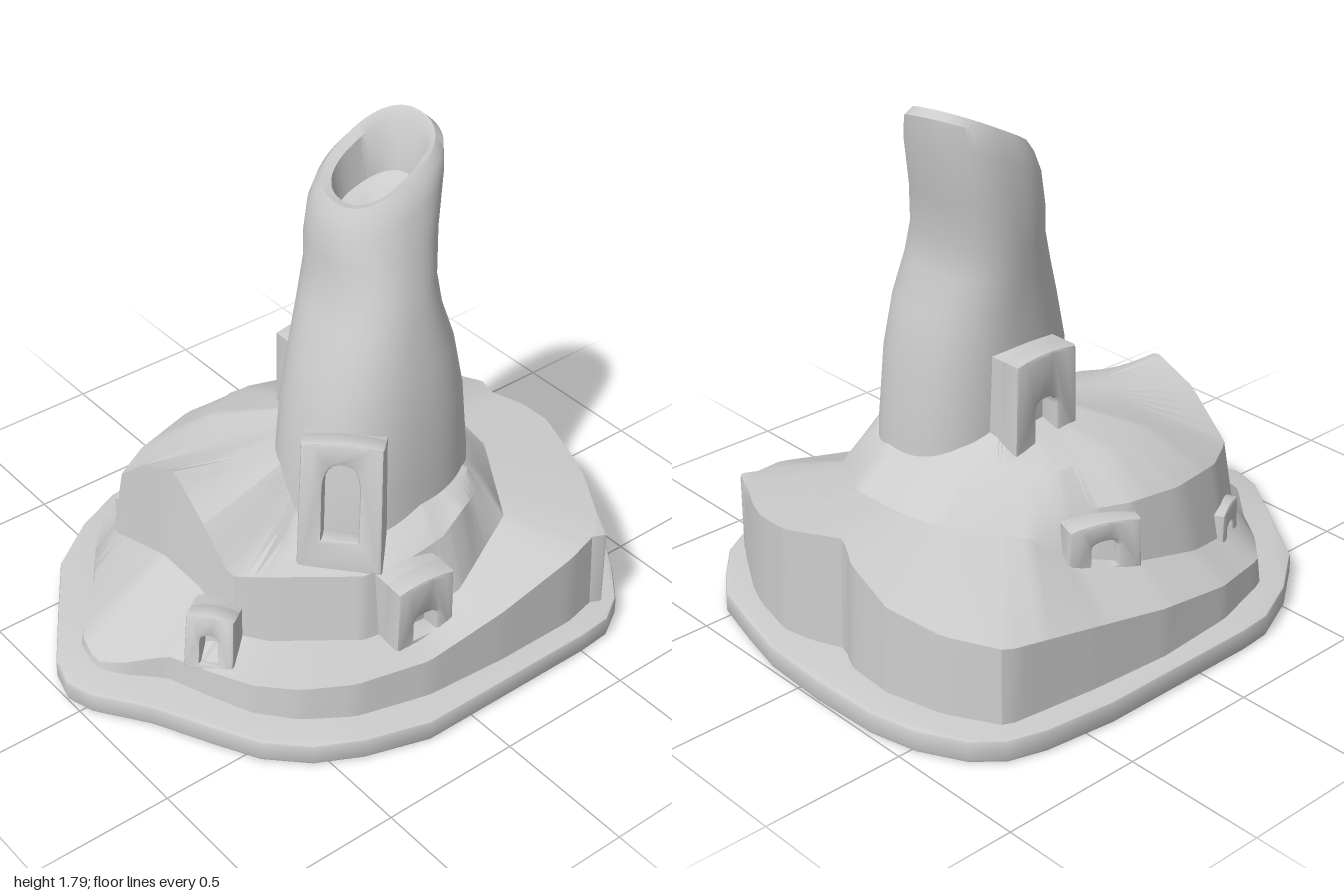
import * as THREE from 'three';
import { toCreasedNormals } from 'three/addons/utils/BufferGeometryUtils.js';

const stone = new THREE.MeshStandardMaterial({ color: 0xcccccc });
const N = 144, CX = 0.1, CZ = 0.02;

function addMesh(parent, name, geometry) {
  const mesh = new THREE.Mesh(geometry, stone);
  mesh.name = name;
  parent.add(mesh);
  return mesh;
}

// Resample a closed outline of [x, y, z] corners at even angles about the centre
function castRing(pts) {
  const ring = [];
  for (let j = 0; j < N; j++) {
    const a = (j / N) * Math.PI * 2, dx = Math.cos(a), dz = Math.sin(a);
    let best = null, far = -1;
    pts.forEach((p, i) => {
      const q = pts[(i + 1) % pts.length];
      const sp = (p[0] - CX) * dz - (p[2] - CZ) * dx;
      const sq = (q[0] - CX) * dz - (q[2] - CZ) * dx;
      if (sp * sq > 0 || sp === sq) return;
      const t = sp / (sp - sq);
      const v = p.map((c, k) => c + (q[k] - c) * t);
      const r = (v[0] - CX) * dx + (v[2] - CZ) * dz;
      if (r > far) { far = r; best = v; }
    });
    ring.push(best);
  }
  return ring;
}

// Skin a stack of rings of equal length
function loft(rings, crease) {
  const index = [];
  for (let i = 0; i < rings.length - 1; i++) {
    for (let j = 0; j < N; j++) {
      const k = (j + 1) % N, a = i * N, b = a + N;
      index.push(a + j, b + j, a + k, a + k, b + j, b + k);
    }
  }
  const geo = new THREE.BufferGeometry();
  geo.setAttribute('position', new THREE.Float32BufferAttribute(rings.flat(2), 3));
  geo.setIndex(index);
  return toCreasedNormals(geo, crease);
}

// Rounded-square section; sx and sz tilt it
function section(x0, x1, z0, z1, y, sx = 0, sz = 0) {
  const pow = (v) => Math.sign(v) * Math.abs(v) ** 0.85;
  return Array.from({ length: N }, (_, j) => {
    const a = (j / N) * Math.PI * 2;
    const u = pow(Math.cos(a)) * (x1 - x0) / 2, w = pow(Math.sin(a)) * (z1 - z0) / 2;
    return [(x0 + x1) / 2 + u, y + sx * u + sz * w, (z0 + z1) / 2 + w];
  });
}

// Block with an arched recess; x, z is the middle of its face at the foot
function archway(name, { x, y, z, normal, w, h, depth, open, sill = 0.004, rise, lean = 0 }) {
  const g = new THREE.Group();
  g.name = name;
  const b = 0.012, hw = w / 2 - b, ow = open / 2 + b;
  const outline = () => {
    const s = new THREE.Shape();
    s.moveTo(-hw, 0);
    s.lineTo(hw, 0);
    s.lineTo(hw * 0.95, h - b * 2);
    s.quadraticCurveTo(0, h, -hw * 0.95, h - b * 2);
    return s;
  };
  const front = outline(), hole = new THREE.Path();
  hole.moveTo(-ow, sill);
  hole.lineTo(-ow, rise * 0.72);
  hole.quadraticCurveTo(-ow, rise, 0, rise);
  hole.quadraticCurveTo(ow, rise, ow, rise * 0.72);
  hole.lineTo(ow, sill);
  front.holes.push(hole);
  const cut = 0.06;
  const frame = new THREE.ExtrudeGeometry(front, {
    depth: cut, bevelThickness: b, bevelSize: b, bevelSegments: 2, curveSegments: 8,
  });
  frame.translate(0, 0, -cut - b);
  const back = new THREE.ExtrudeGeometry(outline(), {
    depth: depth - cut, bevelThickness: 0.002, bevelSize: b, bevelSegments: 1, curveSegments: 8,
  });
  back.translate(0, 0, -depth - b);
  addMesh(g, name + 'Frame', toCreasedNormals(frame, 0.7));
  addMesh(g, name + 'Block', toCreasedNormals(back, 0.7));
  g.position.set(x, y, z);
  g.rotation.order = 'YXZ';
  g.rotation.set(-lean, Math.atan2(normal[0], normal[1]), 0);
  return g;
}

export function createModel() {
  const model = new THREE.Group();
  model.name = 'rockTower';

  // Base plate
  const plate = [
    [-1, -0.07], [-0.97, -0.18], [-0.82, -0.4], [-0.68, -0.6], [-0.5, -0.73], [-0.32, -0.81], [-0.2, -0.82],
    [0.4, -0.82], [0.65, -0.79], [0.78, -0.75], [0.87, -0.67], [0.95, -0.52], [0.99, -0.35], [1, -0.1],
    [0.99, 0.15], [0.95, 0.33], [0.9, 0.52], [0.83, 0.62], [0.72, 0.75], [0.62, 0.81], [0.5, 0.82],
    [-0.18, 0.82], [-0.4, 0.75], [-0.55, 0.67], [-0.67, 0.55], [-0.75, 0.4], [-0.85, 0.2], [-0.97, 0.03],
  ];
  const plateShape = new THREE.Shape(plate.map(([x, z]) => new THREE.Vector2(x, -z)));
  const plateGeo = new THREE.ExtrudeGeometry(plateShape, {
    depth: 0.056, bevelThickness: 0.012, bevelSize: 0.012, bevelOffset: -0.012, bevelSegments: 2,
  });
  plateGeo.rotateX(-Math.PI / 2).translate(0, 0.012, 0);
  addMesh(model, 'basePlate', toCreasedNormals(plateGeo, 0.6));

  // Ledge: sloping shelf between its outer rim and the foot of the mound
  const rim = [
    [-0.88, 0.1, -0.08], [-0.85, 0.11, -0.2], [-0.68, 0.14, -0.38], [-0.58, 0.15, -0.52], [-0.45, 0.17, -0.65],
    [-0.2, 0.2, -0.72], [0.1, 0.25, -0.74], [0.4, 0.3, -0.72], [0.72, 0.34, -0.68], [0.82, 0.35, -0.5],
    [0.87, 0.38, -0.3], [0.86, 0.45, -0.12], [0.81, 0.48, -0.02], [0.86, 0.47, 0.1], [0.88, 0.45, 0.2],
    [0.84, 0.41, 0.38], [0.8, 0.4, 0.48], [0.68, 0.37, 0.69], [0.5, 0.35, 0.73], [0.2, 0.28, 0.73],
    [-0.1, 0.22, 0.71], [-0.35, 0.21, 0.64], [-0.5, 0.2, 0.54], [-0.6, 0.19, 0.42], [-0.66, 0.18, 0.28],
    [-0.72, 0.17, 0.12], [-0.84, 0.12, 0],
  ];
  const foot = [
    [-0.57, 0.38, -0.1], [-0.56, 0.36, 0.08], [-0.53, 0.24, 0.23], [-0.45, 0.22, 0.31], [-0.2, 0.22, 0.5],
    [0, 0.23, 0.54], [0.15, 0.3, 0.57], [0.42, 0.42, 0.48], [0.58, 0.48, 0.2], [0.6, 0.5, 0],
    [0.56, 0.49, -0.15], [0.36, 0.46, -0.39], [0.25, 0.38, -0.47], [0.05, 0.33, -0.57], [-0.2, 0.28, -0.59],
    [-0.4, 0.24, -0.54], [-0.56, 0.27, -0.43],
  ];
  const base = rim.map(([x, , z]) => [x * 1.015, 0.06, z * 1.015]);
  const footRing = castRing(foot);
  addMesh(model, 'ledge', loft([castRing(base), castRing(rim), footRing], 0.5));

  // Mound: steep sides up to a crest, then a shoulder running under the tower
  const crest = [
    [-0.53, 0.72, -0.08], [-0.53, 0.6, 0.08], [-0.52, 0.46, 0.2], [-0.44, 0.46, 0.27], [-0.18, 0.46, 0.47],
    [0, 0.47, 0.5], [0.12, 0.5, 0.51], [0.22, 0.55, 0.49], [0.4, 0.53, 0.4], [0.51, 0.54, 0.2],
    [0.51, 0.54, 0], [0.47, 0.55, -0.15], [0.31, 0.52, -0.37], [0.24, 0.52, -0.43], [0.05, 0.53, -0.53],
    [-0.15, 0.52, -0.55], [-0.38, 0.5, -0.5], [-0.52, 0.5, -0.42], [-0.53, 0.65, -0.25],
  ];
  const shoulder = [
    [-0.3, 0.69, -0.08], [-0.32, 0.66, 0.08], [-0.3, 0.5, 0.22], [-0.1, 0.48, 0.43], [0.1, 0.56, 0.45],
    [0.33, 0.6, 0.39], [0.44, 0.6, 0.2], [0.44, 0.6, -0.08], [0.3, 0.64, -0.22], [0.2, 0.63, -0.36],
    [0, 0.65, -0.4], [-0.2, 0.65, -0.35],
  ];
  const core = [[0, 0.73, -0.1], [0.22, 0.73, -0.1], [0.22, 0.73, 0.15], [0, 0.73, 0.15]];
  addMesh(model, 'mound', loft([footRing, ...[crest, shoulder, core].map(castRing)], 0.5));

  // Tower: leaning chimney with a slanted mouth and a hollow top
  addMesh(model, 'tower', loft([
    section(-0.24, 0.45, -0.12, 0.42, 0.4),
    section(-0.22, 0.44, -0.12, 0.41, 0.65),
    section(-0.18, 0.415, -0.13, 0.4, 0.9),
    section(-0.13, 0.385, -0.13, 0.37, 1.08),
    section(-0.075, 0.34, -0.14, 0.34, 1.22),
    section(-0.035, 0.33, -0.15, 0.31, 1.33),
    section(-0.03, 0.36, -0.155, 0.275, 1.45, 0.2),
    section(-0.02, 0.4, -0.145, 0.245, 1.59, 0.45, -0.1),
    section(0, 0.405, -0.125, 0.225, 1.66, 0.5, -0.12),
    section(0.02, 0.38, -0.1, 0.2, 1.69, 0.52, -0.12),
    section(0.05, 0.355, -0.07, 0.17, 1.67, 0.52, -0.12),
    section(0.07, 0.33, -0.05, 0.15, 1.54, 0.3),
    section(0.19, 0.21, 0.04, 0.06, 1.51),
    section(0.2, 0.2, 0.05, 0.05, 1.51),
  ], 0.75));

  // Doorways and the tall window
  const openings = {
    gateDoor: { x: 0.74, y: 0.08, z: 0.59, normal: [0.9, 0.44], w: 0.32, h: 0.3, depth: 0.2, open: 0.11, rise: 0.18 },
    frontDoor: { x: -0.04, y: 0.22, z: 0.62, normal: [-0.06, 1], w: 0.23, h: 0.25, depth: 0.2, open: 0.09, rise: 0.12 },
    tallWindow: { x: -0.23, y: 0.47, z: 0.4, normal: [-0.72, 0.69], w: 0.28, h: 0.46, depth: 0.24, open: 0.12, sill: 0.09, rise: 0.39, lean: 0.15 },
    sideDoor: { x: -0.66, y: 0.18, z: 0.26, normal: [-0.78, 0.62], w: 0.17, h: 0.2, depth: 0.18, open: 0.06, rise: 0.13, lean: 0.2 },
    backDoor: { x: 0.17, y: 0.33, z: -0.545, normal: [0.34, -0.94], w: 0.26, h: 0.18, depth: 0.12, open: 0.09, rise: 0.12 },
    smallDoor: { x: -0.43, y: 0.18, z: -0.54, normal: [-0.42, -0.9], w: 0.16, h: 0.17, depth: 0.1, open: 0.06, rise: 0.11 },
    towerDoor: { x: 0.13, y: 0.66, z: -0.23, normal: [0, -1], w: 0.27, h: 0.32, depth: 0.16, open: 0.09, rise: 0.17 },
  };
  for (const [name, spec] of Object.entries(openings)) model.add(archway(name, spec));

  return model;
}
